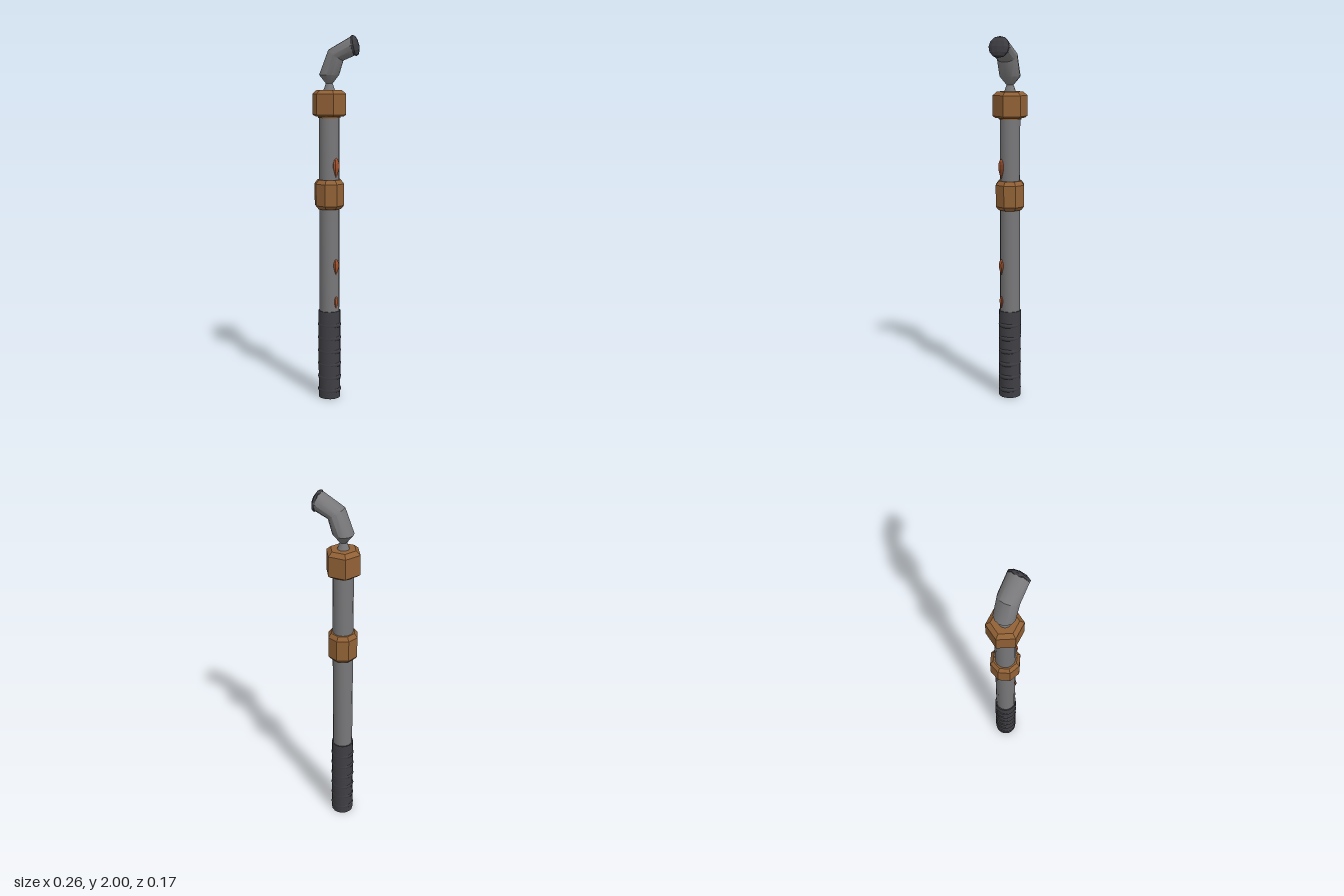
import * as THREE from 'three';
import { toCreasedNormals } from 'three/addons/utils/BufferGeometryUtils.js';

const AXIS = -0.035; // x of the shaft centre line

export function createModel() {
  const group = new THREE.Group();
  const material = (name, color, extra = {}) => {
    const m = new THREE.MeshStandardMaterial({ color, ...extra });
    m.name = name;
    return m;
  };
  const steel = material('steel grey', 0x78787a, { side: THREE.DoubleSide });
  const brass = material('brass brown', 0x916136);
  const rubber = material('dark rubber', 0x3f3f44);
  const rust = material('rust orange', 0xa0522d);

  const add = (name, geometry, mat, x = AXIS, y = 0, z = 0) => {
    const mesh = new THREE.Mesh(geometry, mat);
    mesh.name = name;
    mesh.position.set(x, y, z);
    group.add(mesh);
    return mesh;
  };
  // Turned part with sharp edges; profile is [radius, y] from bottom to top
  const turned = (profile, sides, crease = 0.65, turn = 0) => {
    const points = profile.map(([r, y]) => new THREE.Vector2(r, y));
    return toCreasedNormals(new THREE.LatheGeometry(points, sides, turn), crease);
  };

  // Shaft
  add('shaft', turned([[0, 0.48], [0.055, 0.48], [0.055, 1.6], [0, 1.6]], 16), steel);

  // Grip with raised ribs
  add('grip', turned([[0, 0], [0.061, 0], [0.061, 0.5], [0, 0.5]], 16), rubber);
  for (let i = 0; i < 6; i++) {
    const rib = add('gripRib', new THREE.TorusGeometry(0.056, 0.01, 6, 16), rubber, AXIS, 0.045 + i * 0.075);
    rib.rotation.x = Math.PI / 2;
    rib.scale.set(1, 0.95, 1.4);
  }

  // Chamfered nuts
  add('middleNut', turned([[0, 1.07], [0.066, 1.07], [0.083, 1.09], [0.083, 1.208],
    [0.066, 1.23], [0, 1.23]], 8, 0.2), brass);
  add('topNut', turned([[0, 1.57], [0.08, 1.57], [0.094, 1.58], [0.094, 1.69],
    [0.07, 1.71], [0, 1.71]], 6, 0.2, Math.PI / 6), brass);
  add('washer', turned([[0, 1.562], [0.061, 1.562], [0.061, 1.572], [0, 1.572]], 16), brass);

  // Pinched neck and bent spout: each ring runs [left x, left y, right x, right y, z radius]
  const rings = [
    [-0.070, 1.70, 0.000, 1.70, 0.035],
    [-0.054, 1.745, -0.016, 1.745, 0.019],
    [-0.090, 1.79, 0.020, 1.79, 0.057],
    [-0.038, 1.922, 0.042, 1.864, 0.058],
    [0.090, 1.993, 0.112, 1.893, 0.058],
  ];
  const sides = 12, positions = [], index = [];
  for (const [lx, ly, rx, ry, rz] of rings) {
    for (let j = 0; j < sides; j++) {
      const a = (j / sides) * Math.PI * 2, c = Math.cos(a) / 2;
      positions.push((lx + rx) / 2 + c * (rx - lx), (ly + ry) / 2 + c * (ry - ly), rz * Math.sin(a));
    }
  }
  for (let i = 0; i < rings.length - 1; i++) {
    for (let j = 0; j < sides; j++) {
      const a = i * sides + j, b = i * sides + ((j + 1) % sides);
      index.push(a, a + sides, b, b, a + sides, b + sides);
    }
  }
  const spout = new THREE.BufferGeometry();
  spout.setAttribute('position', new THREE.Float32BufferAttribute(positions, 3));
  spout.setIndex(index);
  add('spout', toCreasedNormals(spout, 0.6), steel, 0);

  // Flattened dark cap on the spout mouth
  const cap = add('spoutCap', toCreasedNormals(new THREE.SphereGeometry(0.061, 10, 6), 0.3), rubber, 0.103, 1.942);
  cap.scale.set(0.36, 0.93, 1);
  cap.rotation.z = 0.2;

  // Rust drips set into the shaft, tapering towards the bottom
  for (const [y, height, width] of [[1.295, 0.055, 0.021], [0.75, 0.046, 0.018], [0.55, 0.036, 0.013]]) {
    const drip = turned([[0, -1], [0.5, -0.55], [0.95, 0], [0.95, 0.45], [0.6, 0.8], [0, 1]], 8, 0.4);
    const mesh = add('rustDrip', drip, rust, 0.012, y, 0.031);
    mesh.scale.set(width * 0.7, height, width);
    mesh.rotation.y = -0.58;
  }

  return group;
}
